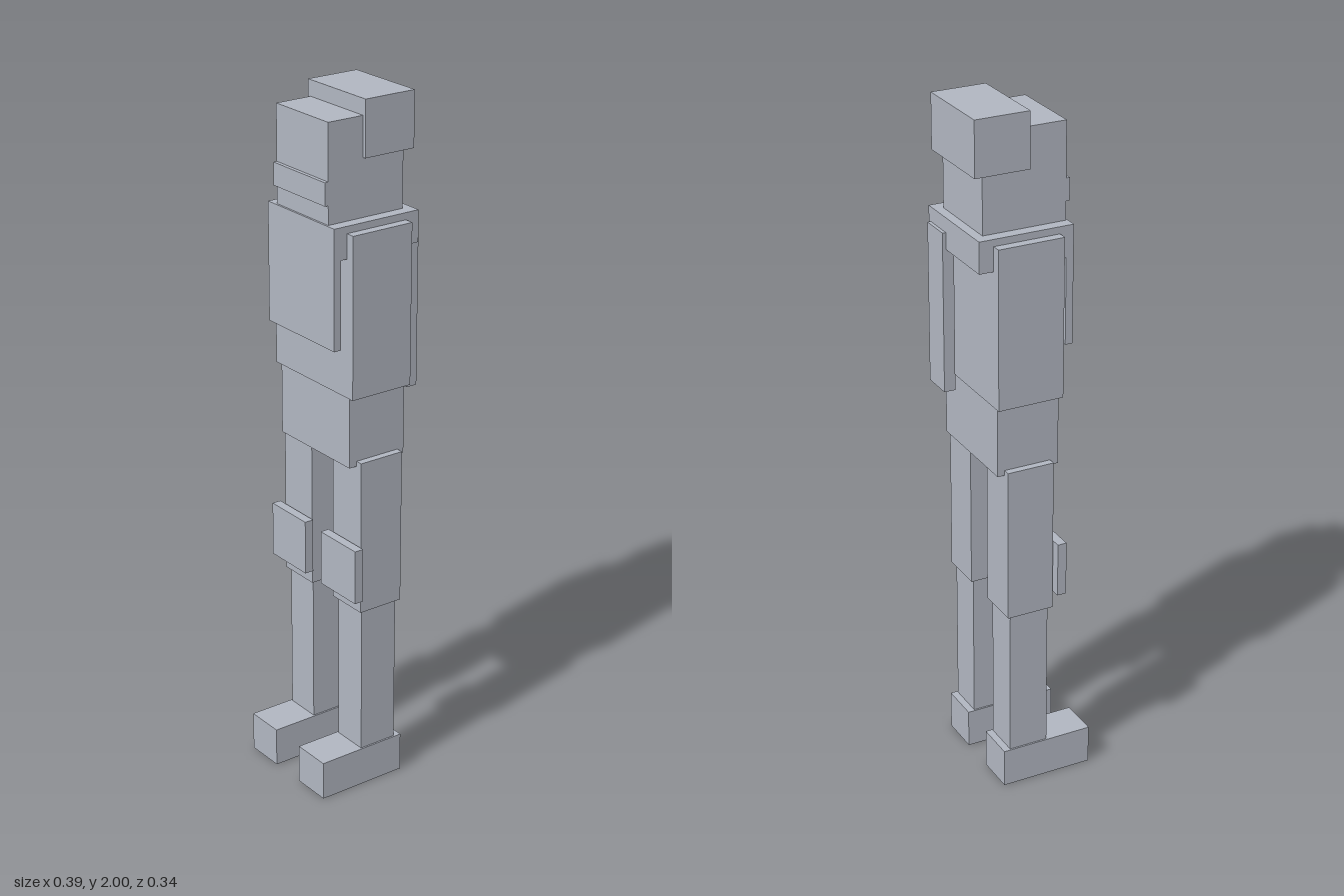
import * as THREE from 'three';

const clay = new THREE.MeshStandardMaterial({ color: 0xb1b6c1 });
clay.name = 'greyClay';

// Box given by its extents along each axis
function box(name, [x0, x1], [y0, y1], [z0, z1]) {
  const mesh = new THREE.Mesh(new THREE.BoxGeometry(x1 - x0, y1 - y0, z1 - z0), clay);
  mesh.position.set((x0 + x1) / 2, (y0 + y1) / 2, (z0 + z1) / 2);
  mesh.name = name;
  return mesh;
}

// One leg; side is +1 for the left, -1 for the right
function leg(side) {
  const group = new THREE.Group();
  group.name = side > 0 ? 'leftLeg' : 'rightLeg';
  const span = (a, b) => (side > 0 ? [a, b] : [-b, -a]);
  group.add(
    box('foot', span(0.056, 0.174), [0, 0.115], [-0.104, 0.171]),
    box('shin', span(0.061, 0.169), [0.1, 0.57], [-0.083, 0.034]),
    box('thigh', span(0.05, 0.178), [0.557, 1.01], [-0.094, 0.045]),
    box('kneePad', span(0.037, 0.196), [0.602, 0.762], [0.051, 0.078]),
  );
  return group;
}

export function createModel() {
  const model = new THREE.Group();
  model.name = 'figure';
  model.add(leg(1), leg(-1));

  // Body: waist below, wider jacket above
  model.add(
    box('waist', [-0.157, 0.157], [0.995, 1.25], [-0.115, 0.069]),
    box('jacket', [-0.176, 0.176], [1.2, 1.66], [-0.121, 0.073]),
  );

  // Shoulder cape with its hanging front panel, and the pack strap behind
  model.add(
    box('collar', [-0.149, 0.149], [1.59, 1.68], [-0.163, 0.114]),
    box('chestPanel', [-0.149, 0.149], [1.34, 1.6], [0.092, 0.114]),
    box('backStrap', [0.046, 0.137], [1.175, 1.638], [-0.173, -0.14]),
  );

  // Head, mouth guard and the block of hair
  model.add(
    box('head', [-0.115, 0.115], [1.67, 1.955], [-0.136, 0.108]),
    box('mouthGuard', [-0.115, 0.115], [1.733, 1.797], [0.1, 0.119]),
    box('hair', [-0.126, 0.126], [1.843, 2], [-0.163, -0.003]),
  );
  return model;
}
